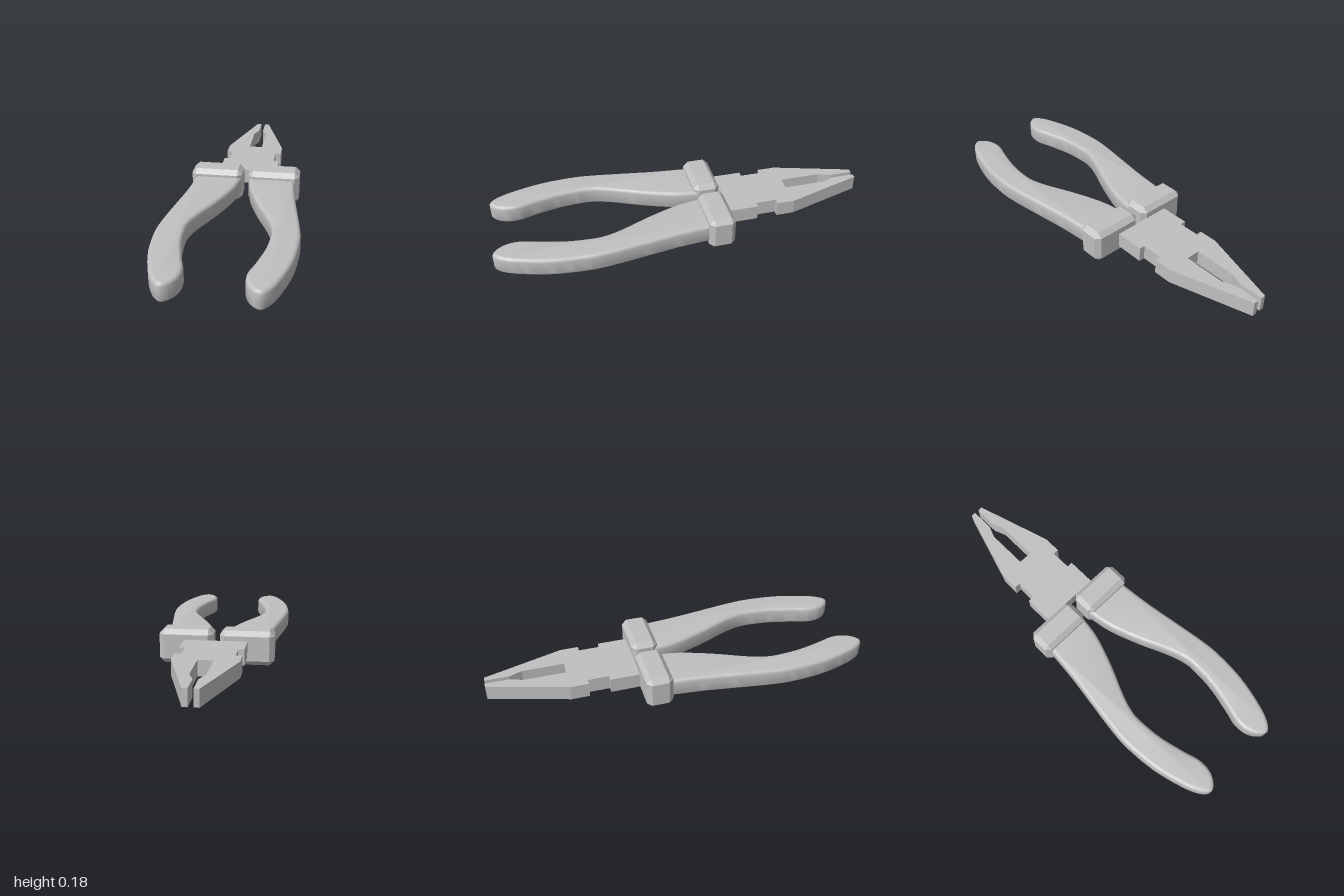
import * as THREE from 'three';
import { toCreasedNormals } from 'three/addons/utils/BufferGeometryUtils.js';
import { ConvexGeometry } from 'three/addons/geometries/ConvexGeometry.js';

const v2 = ([x, z]) => new THREE.Vector2(x, -z);

// Extrude a plan outline (x, -z) upward from height y
function slab(points, y, options) {
  const geo = new THREE.ExtrudeGeometry(new THREE.Shape(points), options);
  return geo.rotateX(-Math.PI / 2).translate(0, y, 0);
}

// Box with every edge cut at 45 degrees
function chamferBox(w, h, d, c) {
  const half = [w / 2, h / 2, d / 2];
  const points = [];
  for (let axis = 0; axis < 3; axis++)
    for (const sx of [-1, 1]) for (const sy of [-1, 1]) for (const sz of [-1, 1]) {
      const p = half.map((s, i) => (i === axis ? s : s - c));
      points.push(new THREE.Vector3(p[0] * sx, p[1] * sy, p[2] * sz));
    }
  return new ConvexGeometry(points);
}

export function createModel() {
  const group = new THREE.Group();
  const grey = new THREE.MeshStandardMaterial({ color: 0xc0c0c0 });
  grey.name = 'grey';
  const add = (name, geometry) => {
    const mesh = new THREE.Mesh(geometry, grey);
    mesh.name = name;
    group.add(mesh);
    return mesh;
  };

  // Jaws and joint plate: half outline, mirrored
  const half = [
    [0, -0.59], [0.037, -0.59], [0.037, -0.81], [0.012, -0.875], [0.012, -1], [0.037, -1],
    [0.161, -0.59], [0.161, -0.495], [0.13, -0.495], [0.13, -0.385], [0.161, -0.385], [0.161, -0.232],
  ];
  const other = half.slice(1).reverse().map(([x, z]) => [-x, z]);
  add('jaws', slab([...half, ...other].map(v2), 0.05, { depth: 0.08, bevelEnabled: false }));

  // Handle plan curve from the outer root, round the tip, to the inner root
  const outline = [
    [0.268, -0.13], [0.272, -0.087], [0.288, 0.08], [0.311, 0.24], [0.338, 0.43], [0.345, 0.55],
    [0.33, 0.72], [0.29, 0.875], [0.253, 0.96], [0.212, 0.997], [0.17, 0.973], [0.142, 0.92],
    [0.139, 0.85], [0.162, 0.77], [0.193, 0.64], [0.204, 0.53], [0.202, 0.45], [0.172, 0.35],
    [0.102, 0.19], [0.045, 0.03], [0.024, -0.087], [0.02, -0.13],
  ];
  for (const [side, name] of [[1, 'left'], [-1, 'right']]) {
    const curve = new THREE.SplineCurve(outline.map(([x, z]) => v2([x * side, z])));
    const handle = slab(curve.getPoints(84), 0.06, {
      depth: 0.06, bevelThickness: 0.02, bevelSize: 0.018, bevelOffset: -0.018, bevelSegments: 4,
    });
    add(name + 'Handle', toCreasedNormals(handle, 0.7));

    // Chamfered collar around the handle root
    add(name + 'Collar', chamferBox(0.28, 0.178, 0.14, 0.025)).position.set(0.157 * side, 0.089, -0.155);
  }
  return group;
}
